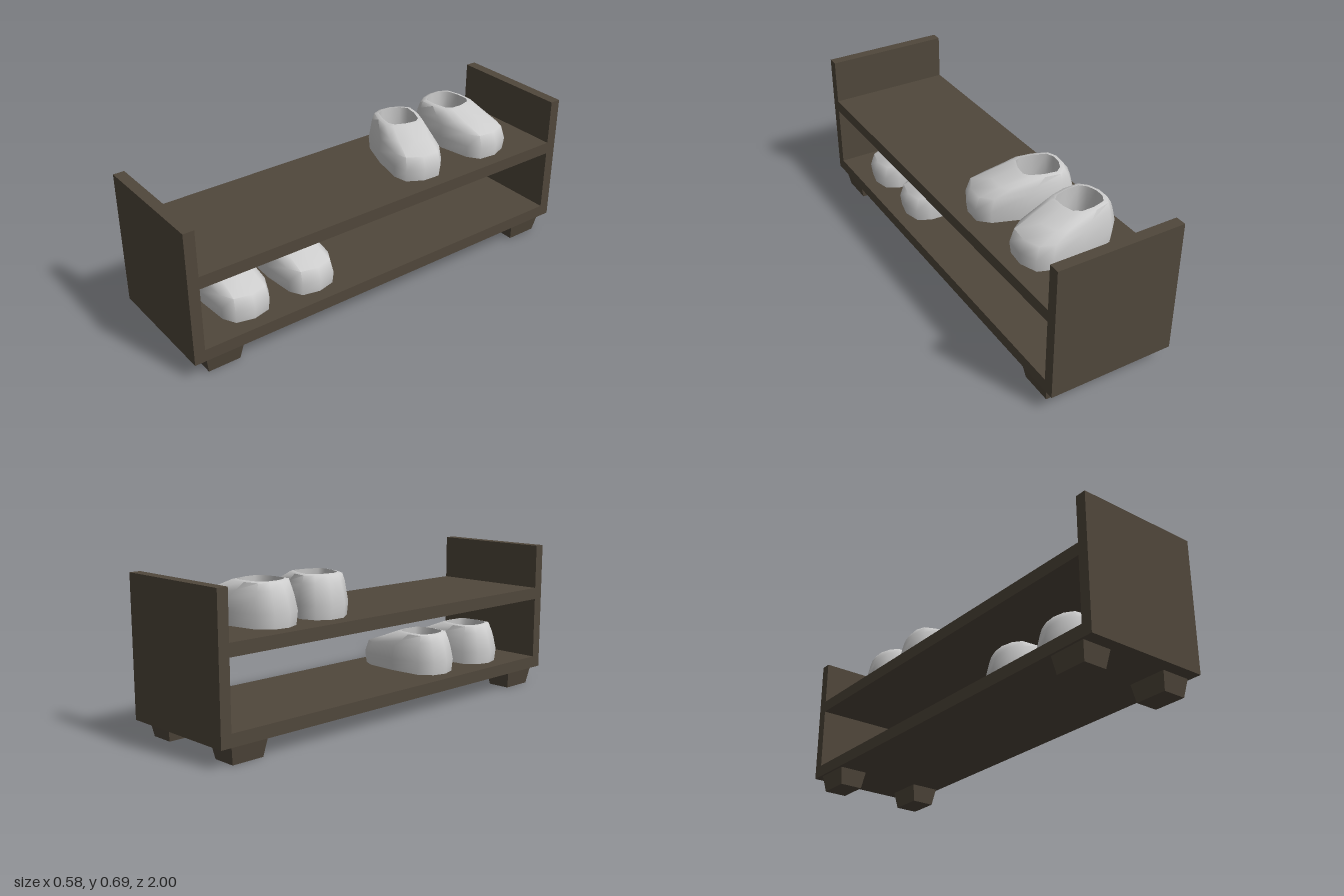
import * as THREE from 'three';
import { toCreasedNormals } from 'three/addons/utils/BufferGeometryUtils.js';

const wood = new THREE.MeshStandardMaterial({ color: 0x50473b });
wood.name = 'dark wood';
const shoeGrey = new THREE.MeshStandardMaterial({ color: 0xcccccc });
shoeGrey.name = 'light grey';

function board(name, w, h, d, x, y, z) {
  const mesh = new THREE.Mesh(new THREE.BoxGeometry(w, h, d), wood);
  mesh.name = name;
  mesh.position.set(x, y, z);
  return mesh;
}

// Block foot, narrower at the floor
function footGeometry() {
  const geo = new THREE.BoxGeometry(0.138, 0.08, 0.178);
  const p = geo.attributes.position;
  for (let i = 0; i < p.count; i++) {
    if (p.getY(i) < 0) p.setXYZ(i, p.getX(i) * 0.79, p.getY(i), p.getZ(i) * 0.84);
  }
  geo.computeVertexNormals();
  return geo;
}

// Shoe skinned over closed rings, toe towards +x:
// [centre x, half length, half width, heel height, toe height]
function shoeGeometry() {
  const rings = [
    [0, 0, 0, 0, 0],
    [0.003, 0.228, 0.12, 0, 0],
    [0.003, 0.235, 0.125, 0.06, 0.055],
    [0.0, 0.217, 0.118, 0.12, 0.112],
    [-0.04, 0.165, 0.109, 0.15, 0.145],
    [-0.075, 0.107, 0.098, 0.181, 0.181],
    [-0.075, 0.09, 0.08, 0.185, 0.185],
    [-0.07, 0.095, 0.085, 0.06, 0.06],
    [-0.07, 0, 0, 0.05, 0.05],
  ];
  const n = 12;
  const bend = (v) => Math.sign(v) * Math.abs(v) ** 0.6;
  const pos = [];
  const index = [];
  rings.forEach(([cx, a, b, heelY, toeY], r) => {
    for (let j = 0; j < n; j++) {
      const t = (j / n) * Math.PI * 2;
      const c = bend(Math.cos(t));
      // The heel is rounder than the toe
      const s = bend(Math.sin(t)) * (c < -0.9 ? 0.82 : 1);
      pos.push(cx + a * c, THREE.MathUtils.lerp(heelY, toeY, (c + 1) / 2), b * s);
      if (r < rings.length - 1) {
        const p = r * n + j, q = r * n + (j + 1) % n;
        index.push(p, p + n, q, q, p + n, q + n);
      }
    }
  });
  const geo = new THREE.BufferGeometry();
  geo.setAttribute('position', new THREE.Float32BufferAttribute(pos, 3));
  geo.setIndex(index);
  return toCreasedNormals(geo, 1.1);
}

export function createModel() {
  const model = new THREE.Group();
  model.name = 'shoeBench';

  // End panels and shelves
  for (const s of [1, -1]) {
    model.add(board(s > 0 ? 'frontPanel' : 'backPanel', 0.582, 0.615, 0.05, 0, 0.3875, s * 0.975));
  }
  model.add(board('lowerShelf', 0.582, 0.056, 1.9, 0, 0.108, 0));
  model.add(board('upperShelf', 0.582, 0.056, 1.9, 0, 0.457, 0));

  // Feet
  const footGeo = footGeometry();
  for (const x of [-1, 1]) for (const z of [-1, 1]) {
    const foot = new THREE.Mesh(footGeo, wood);
    foot.name = 'foot';
    foot.position.set(x * 0.211, 0.04, z * 0.854);
    model.add(foot);
  }

  // Two pairs of shoes: [name, y, z, turn]
  const shoeGeo = shoeGeometry();
  const shoes = [
    ['upperShoeBack', 0.485, -0.63, 0.13],
    ['upperShoeFront', 0.485, -0.3, -0.28],
    ['lowerShoeBack', 0.136, 0.35, 0.02],
    ['lowerShoeFront', 0.136, 0.678, 0],
  ];
  for (const [name, y, z, turn] of shoes) {
    const shoe = new THREE.Mesh(shoeGeo, shoeGrey);
    shoe.name = name;
    shoe.position.set(0, y, z);
    shoe.rotation.y = turn;
    model.add(shoe);
  }
  return model;
}
